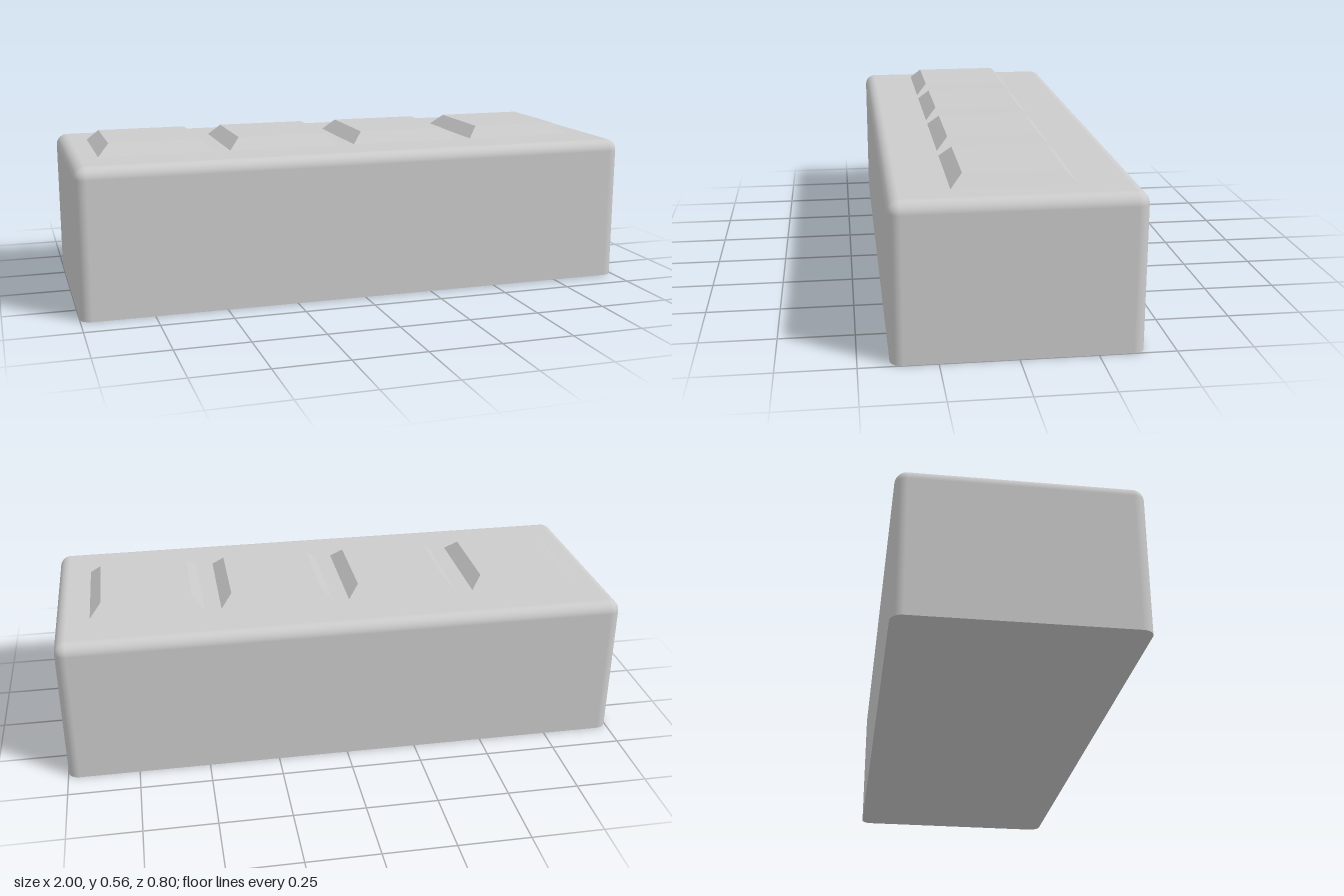
import * as THREE from 'three';
import { RoundedBoxGeometry } from 'three/addons/geometries/RoundedBoxGeometry.js';

const grey = new THREE.MeshStandardMaterial({ color: 0xcccccc });

// Block with rounded top and upright edges, cut flat at y = 0
function blockGeometry(width, height, depth, radius) {
  const geo = new RoundedBoxGeometry(width, height + radius, depth, 6, radius);
  geo.translate(0, (height - radius) / 2, 0);
  const pos = geo.attributes.position;
  const normal = geo.attributes.normal;
  for (let i = 0; i < pos.count; i++) {
    if (pos.getY(i) < 1e-5) pos.setY(i, 0);
  }
  // Triangles lying in the base plane face straight down
  for (let i = 0; i < pos.count; i += 3) {
    const corners = [i, i + 1, i + 2];
    if (corners.every((k) => pos.getY(k) === 0)) {
      corners.forEach((k) => normal.setXYZ(k, 0, -1, 0));
    }
  }
  return geo;
}

// Square pad with sloping sides, standing on y = 0
function padGeometry(size, height, inset) {
  const geo = new THREE.BoxGeometry(size, height, size);
  geo.translate(0, height / 2, 0);
  const pos = geo.attributes.position;
  const taper = 1 - (2 * inset) / size;
  for (let i = 0; i < pos.count; i++) {
    if (pos.getY(i) > height / 2) {
      pos.setX(i, pos.getX(i) * taper);
      pos.setZ(i, pos.getZ(i) * taper);
    }
  }
  geo.computeVertexNormals();
  return geo;
}

export function createModel() {
  const model = new THREE.Group();
  model.name = 'blockWithPads';

  const body = new THREE.Mesh(blockGeometry(2, 0.52, 0.8, 0.04), grey);
  body.name = 'body';
  model.add(body);

  // Row of four raised pads along the top
  const padGeo = padGeometry(0.4, 0.04, 0.04);
  for (let i = 0; i < 4; i++) {
    const pad = new THREE.Mesh(padGeo, grey);
    pad.name = `pad${i + 1}`;
    pad.position.set(-0.7 + i * 0.46, 0.52, 0);
    model.add(pad);
  }
  return model;
}
